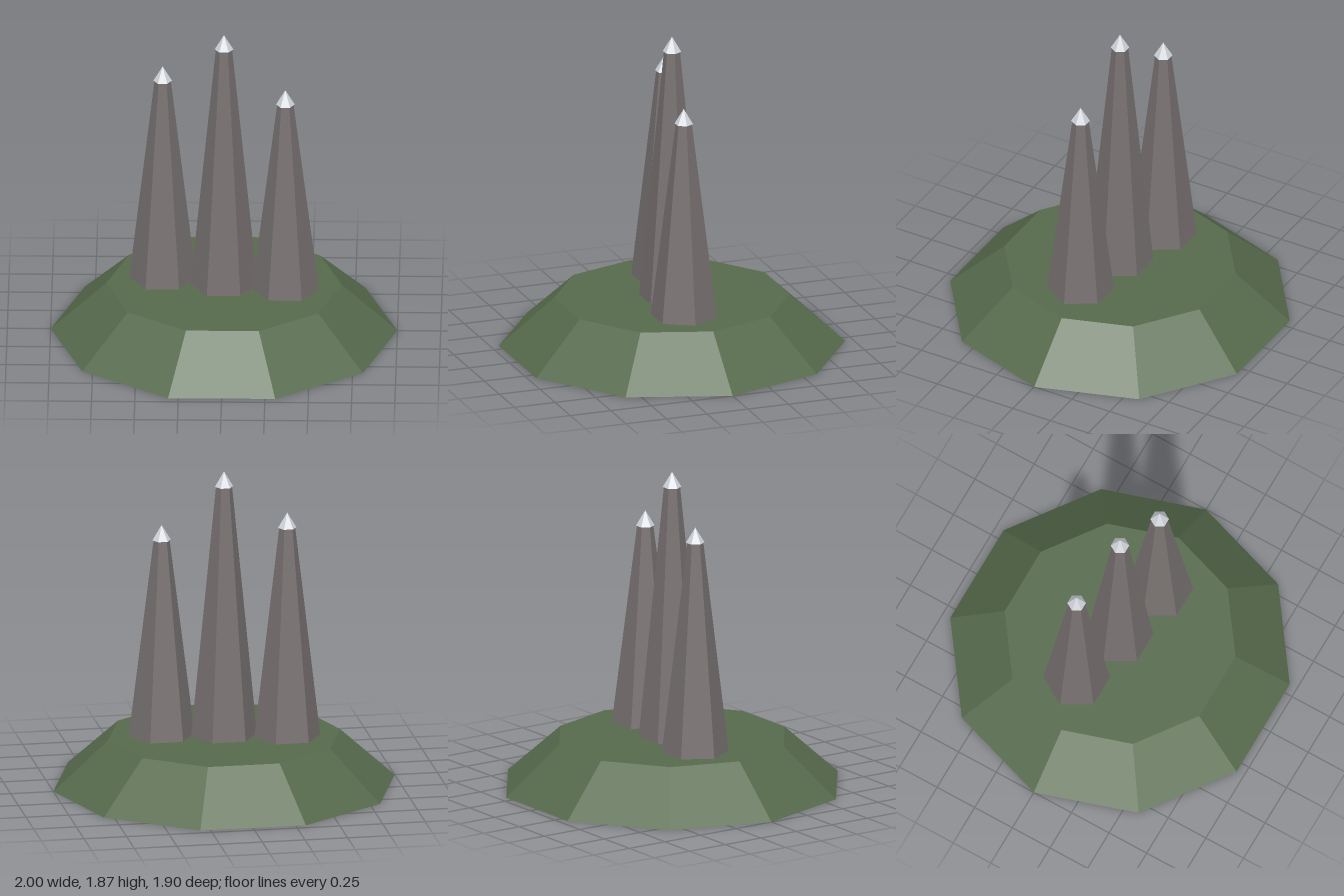
import * as THREE from 'three';

const material = (name, color, side = THREE.FrontSide) => {
  const m = new THREE.MeshStandardMaterial({ color, flatShading: true, side });
  m.name = name;
  return m;
};

const BASE_HEIGHT = 0.29;

export function createModel() {
  const grass = material('mossy green', 0x566a4c, THREE.DoubleSide);
  const rock = material('grey rock', 0x777170);
  const snow = material('pale snow', 0xd2d6dc);

  const model = new THREE.Group();
  model.name = 'rockSpires';

  const add = (parent, name, geometry, mat, y = 0) => {
    const mesh = new THREE.Mesh(geometry, mat);
    mesh.name = name;
    mesh.position.y = y;
    parent.add(mesh);
  };

  // Hollow ten-sided mound, open underneath, with a corner on +x
  const profile = [[1, 0], [0.68, BASE_HEIGHT], [0, BASE_HEIGHT]].map(([x, y]) => new THREE.Vector2(x, y));
  add(model, 'mound', new THREE.LatheGeometry(profile, 10, Math.PI / 2), grass);

  // Six-sided spires with slightly overhanging snow caps
  const spires = [
    ['rightSpire', -0.355, -0.085, 1.54],
    ['middleSpire', 0, 0, 1.78],
    ['leftSpire', 0.355, 0.06, 1.46],
  ];
  const capHeight = 0.09;
  for (const [name, x, z, top] of spires) {
    const spire = new THREE.Group();
    spire.name = name;
    spire.position.set(x, 0, z);
    const height = top - BASE_HEIGHT;
    add(spire, 'shaft', new THREE.CylinderGeometry(0.047, 0.193, height, 6, 1, true, Math.PI / 2), rock, BASE_HEIGHT + height / 2);
    add(spire, 'snowCap', new THREE.ConeGeometry(0.054, capHeight, 6, 1, false, Math.PI / 2), snow, top + capHeight / 2);
    model.add(spire);
  }
  return model;
}
